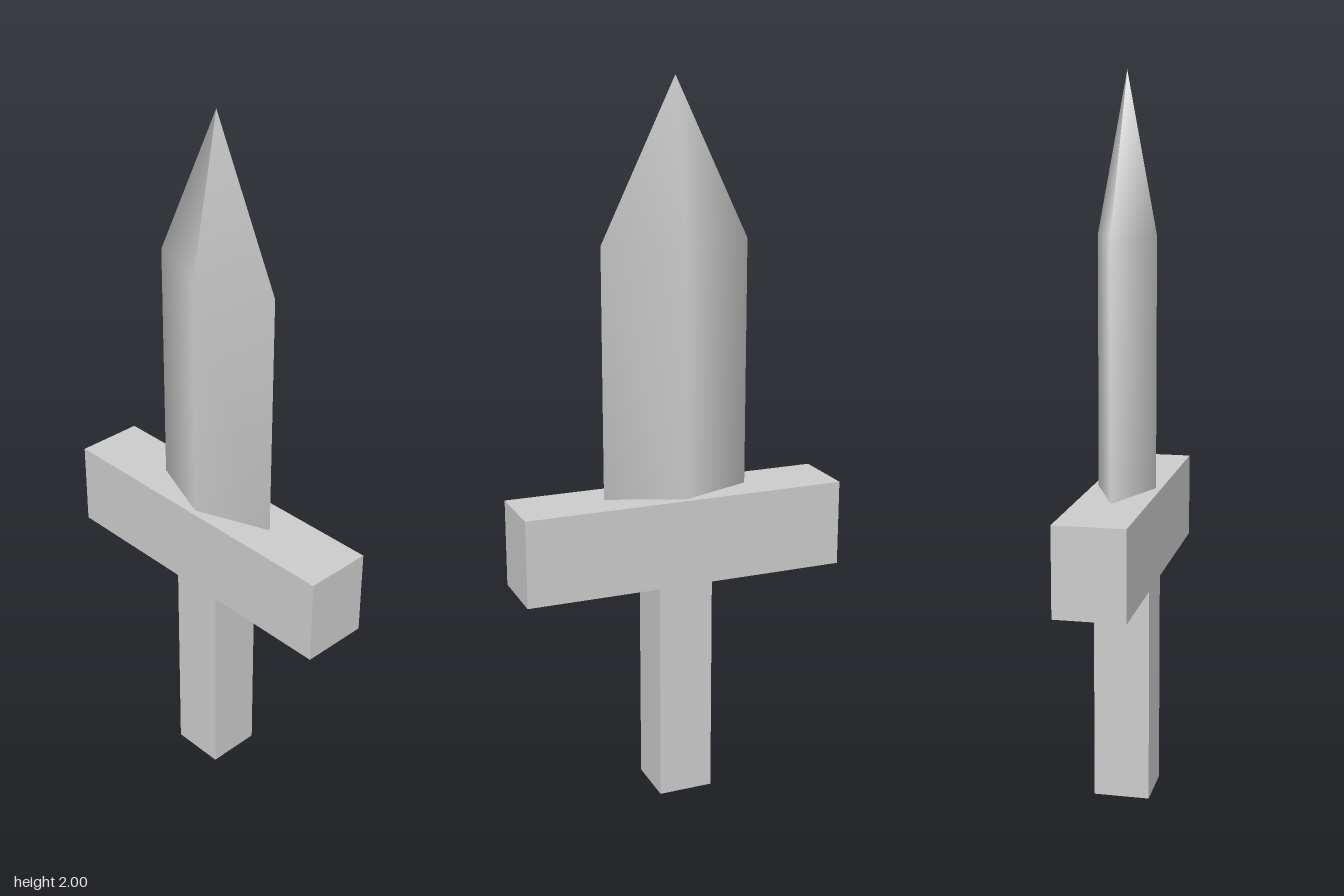
import * as THREE from 'three';

export function createModel() {
  const group = new THREE.Group();
  const material = new THREE.MeshStandardMaterial({ color: 0xcccccc });

  const add = (name, geometry) => {
    const mesh = new THREE.Mesh(geometry, material);
    mesh.name = name;
    group.add(mesh);
    return mesh;
  };

  // Square grip, running up into the middle of the guard
  add('grip', new THREE.BoxGeometry(0.156, 0.757, 0.156)).position.y = 0.757 / 2;

  // Wide rectangular crossguard
  add('crossguard', new THREE.BoxGeometry(0.924, 0.244, 0.193)).position.y = 0.758;

  // Blade: four-sided smooth lathe flattened to a diamond section, seated in the guard
  const profile = [[0.21, 0.76], [0.21, 1.57], [0, 2]].map(([r, y]) => new THREE.Vector2(r, y));
  const blade = new THREE.LatheGeometry(profile, 4);
  blade.scale(1, 1, 0.081 / 0.21);
  add('blade', blade);

  return group;
}
